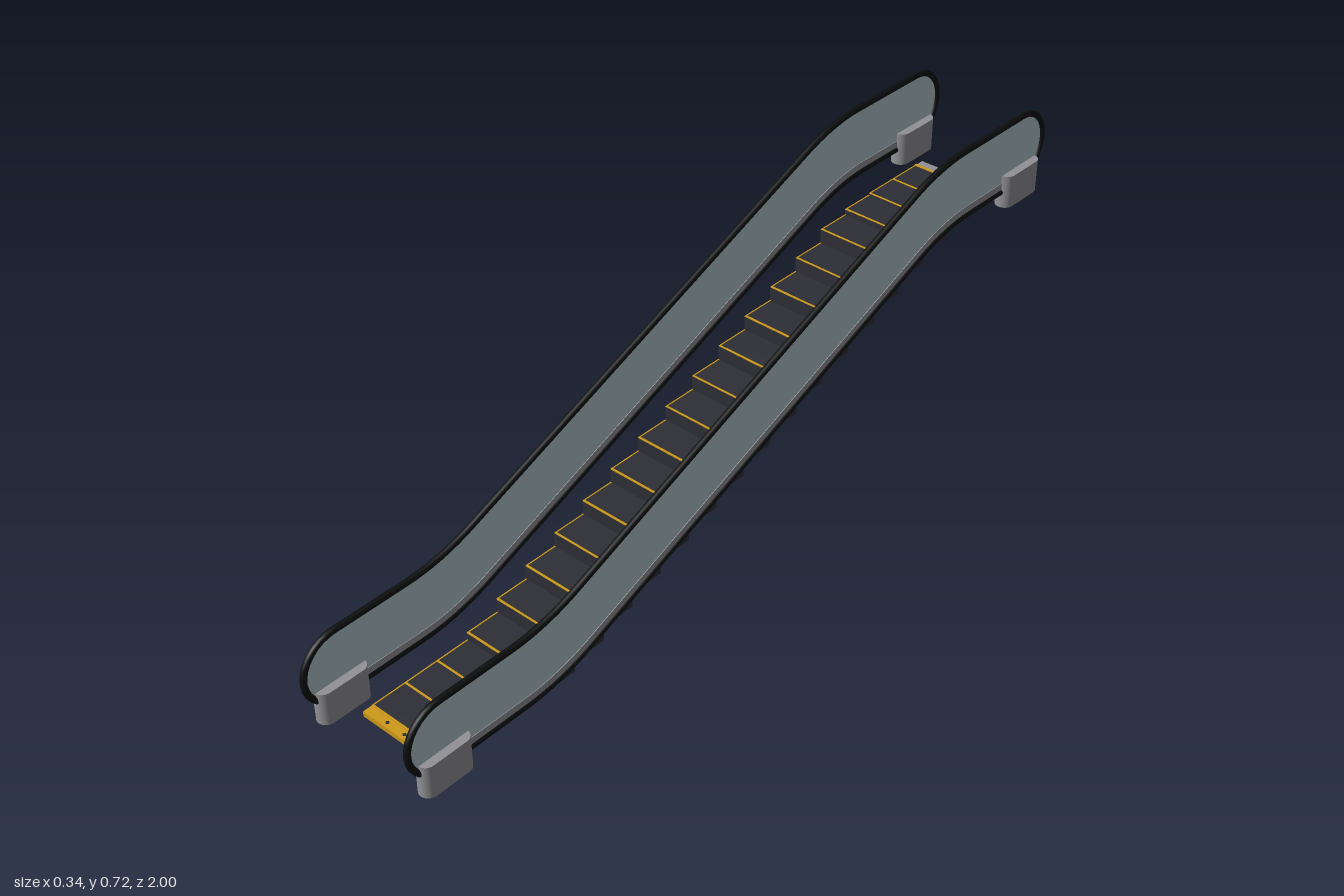
import * as THREE from 'three';

const SLOPE = 0.403;
const PITCH = 0.0868;
const RISE = 0.035;
const WIDTH = 0.224;
const RAIL_X = 0.148;

// Traces the upper or lower balustrade edge in side profile (u runs from front to back).
const lowerCorners = [[-0.6, 0.05], [0.628, 0.545]];
const upperCorners = [[-0.628, 0.217], [0.6, 0.712]];
function edge(path, corners, dy, reverse) {
  const [[u0, y0], [u1, y1]] = corners;
  const r = 0.09;
  const bends = [
    [[u0 - r, y0], [u0, y0], [u0 + r, y0 + r * SLOPE]],
    [[u1 - r, y1 - r * SLOPE], [u1, y1], [u1 + r, y1]],
  ];
  if (reverse) bends.reverse().forEach((b) => b.reverse());
  for (const [a, b, c] of bends) {
    path.lineTo(a[0], a[1] + dy);
    path.quadraticCurveTo(b[0], b[1] + dy, c[0], c[1] + dy);
  }
}

// Closed side outline with a half circle at both ends
function balustradeShape() {
  const s = new THREE.Shape();
  s.moveTo(-0.9075, 0.217);
  edge(s, upperCorners, 0, false);
  s.lineTo(0.9075, 0.712);
  s.absarc(0.9075, 0.6285, 0.0835, Math.PI / 2, -Math.PI / 2, true);
  edge(s, lowerCorners, 0, true);
  s.lineTo(-0.9075, 0.05);
  s.absarc(-0.9075, 0.1335, 0.0835, -Math.PI / 2, -Math.PI * 1.5, true);
  return s;
}

// Narrow band just above the lower edge
function trimShape() {
  const s = new THREE.Shape();
  s.moveTo(-0.9, 0.056);
  edge(s, lowerCorners, 0.006, false);
  s.lineTo(0.9, 0.551);
  s.lineTo(0.9, 0.568);
  edge(s, lowerCorners, 0.023, true);
  s.lineTo(-0.9, 0.073);
  s.closePath();
  return s;
}

// Extrudes a side profile across x, centred on x = 0
function sideExtrude(shape, depth) {
  const g = new THREE.ExtrudeGeometry(shape, { depth, bevelEnabled: false, curveSegments: 16 });
  return g.translate(0, 0, -depth / 2).rotateY(Math.PI / 2);
}

// Upright block with rounded ends
function pedestalGeometry() {
  const r = 0.0215, h = 0.0425;
  const s = new THREE.Shape();
  s.moveTo(r, -h);
  s.absarc(0, h, r, 0, Math.PI, false);
  s.absarc(0, -h, r, Math.PI, Math.PI * 2, false);
  const g = new THREE.ExtrudeGeometry(s, { depth: 0.08, bevelEnabled: false, curveSegments: 16 });
  return g.rotateX(-Math.PI / 2);
}

export function createModel() {
  const mat = (name, color) => {
    const m = new THREE.MeshStandardMaterial({ color });
    m.name = name;
    return m;
  };
  const rubber = mat('black rubber', 0x0c0d0d);
  const glass = mat('pale glass', 0xb1c5ca);
  const metal = mat('grey metal', 0x929296);
  const tread = mat('dark tread', 0x2e2e36);
  const yellow = mat('safety yellow', 0xcf9a18);

  const model = new THREE.Group();
  model.name = 'escalator';
  const add = (parent, name, geometry, material, x = 0, y = 0, z = 0) => {
    const m = new THREE.Mesh(geometry, material);
    m.name = name;
    m.position.set(x, y, z);
    parent.add(m);
    return m;
  };
  const box = (parent, name, material, w, h, d, x, y, z) =>
    add(parent, name, new THREE.BoxGeometry(w, h, d), material, x, y, z);

  // Balustrades: glass panel, lower trim, handrail loop and end pedestals
  const outline = balustradeShape();
  const points = outline.getSpacedPoints(200).map((p) => new THREE.Vector3(0, p.y, -p.x));
  if (points[0].distanceTo(points[points.length - 1]) < 1e-4) points.pop();
  const railCurve = new THREE.CatmullRomCurve3(points, true);
  const railGeometry = new THREE.TubeGeometry(railCurve, 260, 0.0077, 10, true);
  const glassGeometry = sideExtrude(outline, 0.004);
  const trimGeometry = sideExtrude(trimShape(), 0.007);
  const pedestal = pedestalGeometry();
  for (const side of [-1, 1]) {
    const g = new THREE.Group();
    g.name = side > 0 ? 'leftBalustrade' : 'rightBalustrade';
    g.position.x = side * RAIL_X;
    add(g, 'glassPanel', glassGeometry, glass);
    add(g, 'lowerTrim', trimGeometry, metal);
    add(g, 'handrail', railGeometry, rubber);
    add(g, 'frontPedestal', pedestal, metal, 0, 0.015, 0.905);
    add(g, 'backPedestal', pedestal, metal, 0, 0.507, -0.905);
    model.add(g);
  }

  // Steps: three flat tiles, the climbing flight, then the upper flat tiles
  const steps = new THREE.Group();
  steps.name = 'steps';
  model.add(steps);
  for (let k = -3; k <= 16; k++) {
    const zFront = 0.604 - PITCH * k;
    let top = 0.03 + RISE * k;
    let height = Math.min(0.038, top);
    if (k < 0) { top = 0.011; height = 0.011; }
    if (k === 14) { top = 0.499; height = 0.022; }
    if (k > 14) { top = 0.503; height = 0.01; }
    const zMid = zFront - PITCH / 2;
    box(steps, 'step', tread, WIDTH, height, PITCH, 0, top - height / 2, zMid);
    // Yellow edge lines along the nose and both sides
    box(steps, 'noseLine', yellow, WIDTH, 0.002, 0.005, 0, top, zFront - 0.0025);
    for (const side of [-1, 1]) {
      box(steps, 'sideLine', yellow, 0.003, 0.002, PITCH, side * (WIDTH / 2 - 0.0015), top, zMid);
    }
  }

  // Comb plates with screw heads at both landings
  const combs = [['frontComb', yellow, 0.0065, 0.877], ['backComb', metal, 0.498, -0.887]];
  for (const [name, material, y, z] of combs) {
    box(model, name, material, WIDTH - 0.004, 0.013, 0.022, 0, y, z);
    for (const x of [-0.05, 0, 0.05]) {
      const screw = new THREE.CylinderGeometry(0.004, 0.004, 0.002, 10);
      add(model, name + 'Screw', screw, tread, x, y + 0.0068, z);
    }
  }
  box(model, 'backCombLine', yellow, WIDTH, 0.003, 0.006, 0, 0.504, -0.874);
  return model;
}
